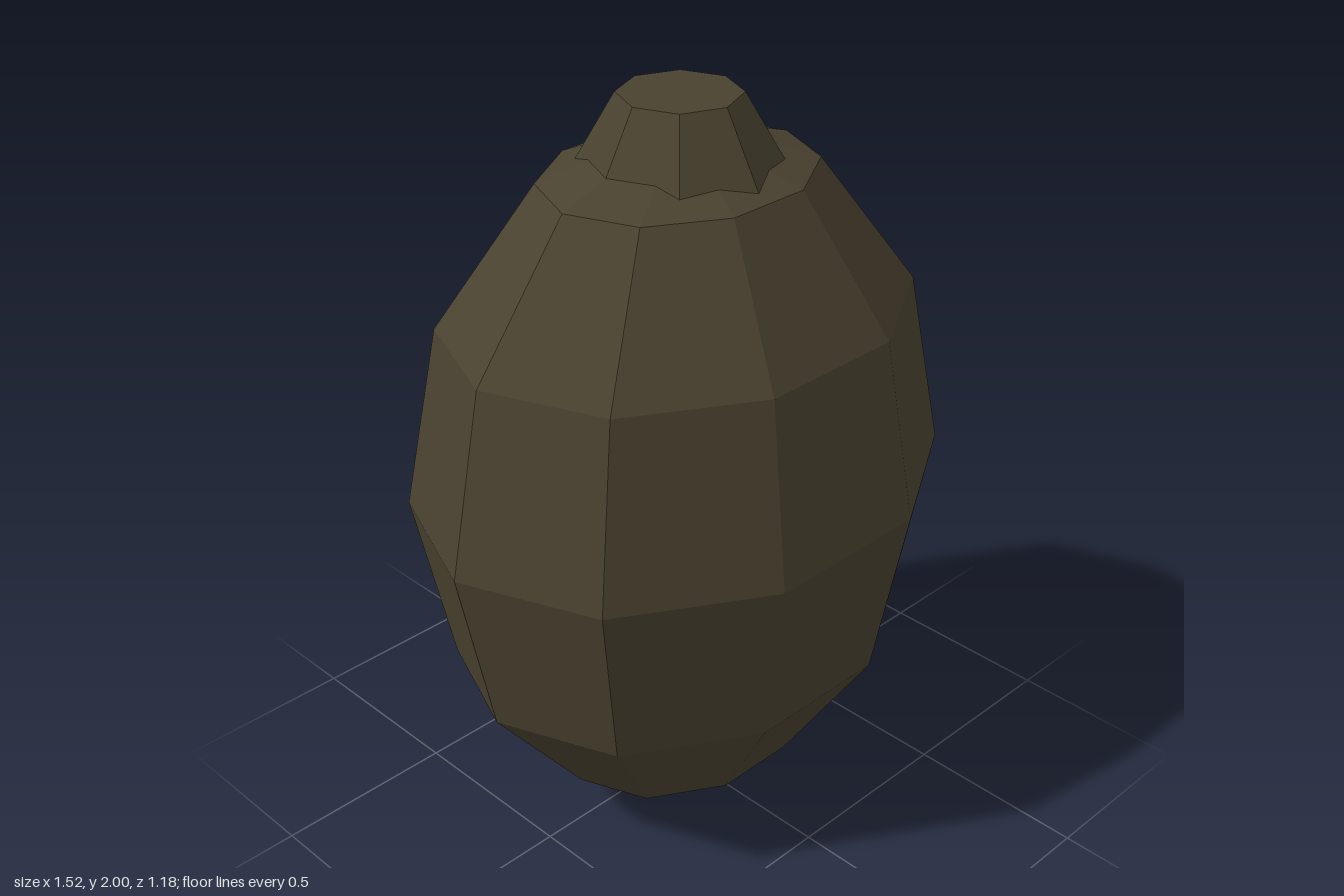
import * as THREE from 'three';

export function createModel() {
  const model = new THREE.Group();
  model.name = 'pod';
  const husk = new THREE.MeshStandardMaterial({ color: 0x4a4230, flatShading: true });
  husk.name = 'dark olive husk';

  // Faceted body: a coarse sphere, tall and flattened front to back
  const bodyGeometry = new THREE.SphereGeometry(1, 10, 6);
  bodyGeometry.scale(0.76, 0.966, 0.62);
  const body = new THREE.Mesh(bodyGeometry, husk);
  body.name = 'body';
  body.position.y = 0.966;
  model.add(body);

  // Flared eight-sided stem, sunk into the crown of the body
  const stemHeight = 0.25;
  const stem = new THREE.Mesh(new THREE.CylinderGeometry(0.155, 0.3, stemHeight, 8), husk);
  stem.name = 'stem';
  stem.position.y = 2 - stemHeight / 2;
  model.add(stem);

  return model;
}
